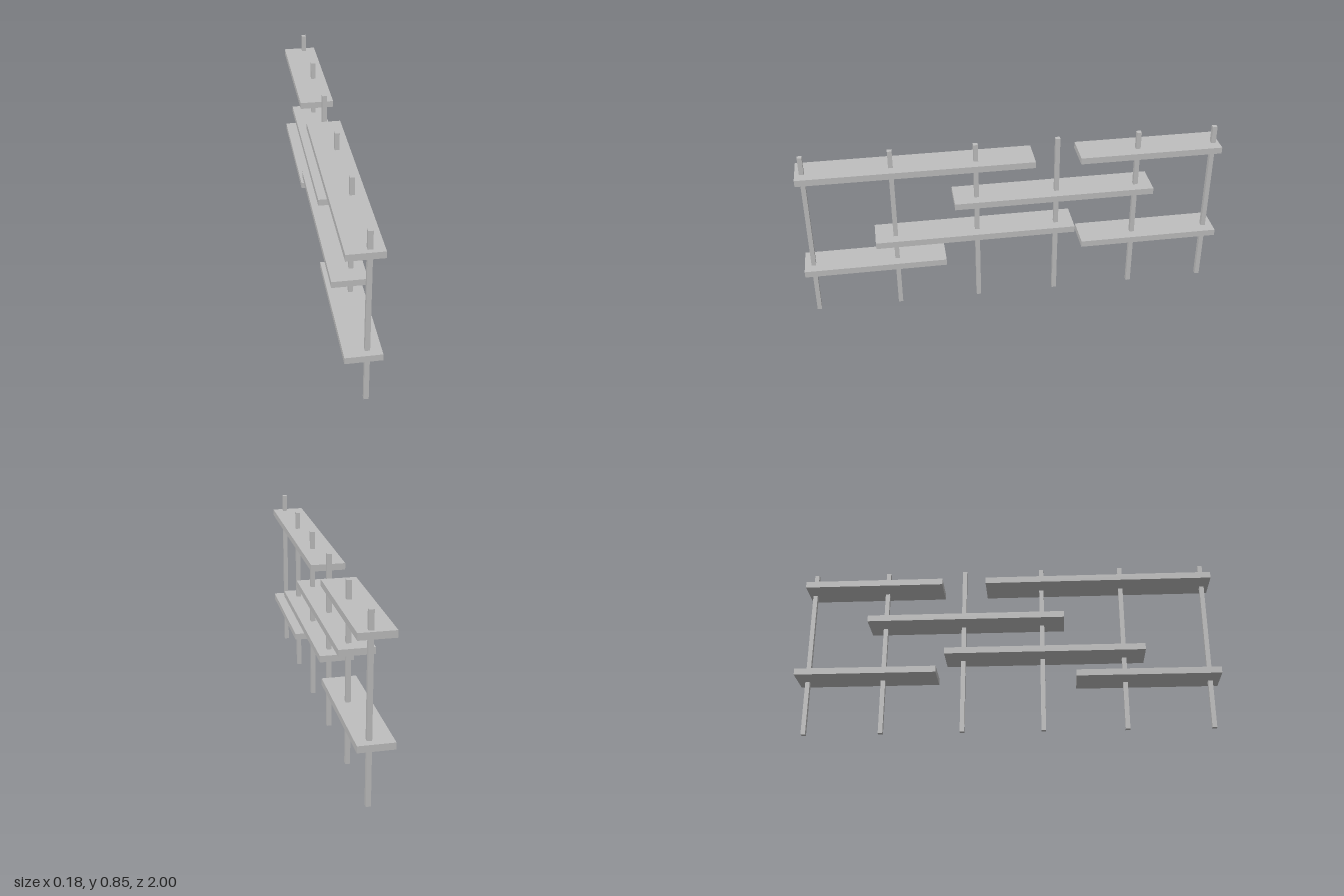
import * as THREE from 'three';

const HEIGHT = 0.847;      // post height
const POST = 0.0215;       // square post section
const WIDTH = 0.16;        // shelf depth across x
const THICK = 0.031;       // shelf thickness

export function createModel() {
  const model = new THREE.Group();
  model.name = 'shelvingUnit';
  const grey = new THREE.MeshStandardMaterial({ color: 0xbfbfbf });
  grey.name = 'plain grey';

  // The whole unit stands very slightly turned
  const unit = new THREE.Group();
  unit.name = 'rack';
  unit.rotation.y = 0.0093;
  unit.position.x = -0.001;
  model.add(unit);

  const box = (name, w, h, d, x, y, z) => {
    const mesh = new THREE.Mesh(new THREE.BoxGeometry(w, h, d), grey);
    mesh.name = name;
    mesh.position.set(x, y, z);
    unit.add(mesh);
  };

  // Row of square posts, set off the shelf centre line
  [0.957, 0.561, 0.173, -0.207, -0.59, -0.954].forEach((z, i) =>
    box(`post${i + 1}`, POST, HEIGHT, POST, 0.0205, HEIGHT / 2, z));

  // Staggered shelves: name, centre height, front end, back end
  [
    ['topFrontShelf', 0.747, 0.989, -0.097],
    ['topBackShelf', 0.747, -0.309, -0.981],
    ['upperMiddleShelf', 0.554, 0.28, -0.665],
    ['lowerMiddleShelf', 0.375, 0.657, -0.29],
    ['lowBackShelf', 0.282, -0.328, -0.999],
    ['lowFrontShelf', 0.248, 0.999, 0.33],
  ].forEach(([name, y, z1, z0]) =>
    box(name, WIDTH, THICK, z1 - z0, 0, y, (z0 + z1) / 2));

  return model;
}
